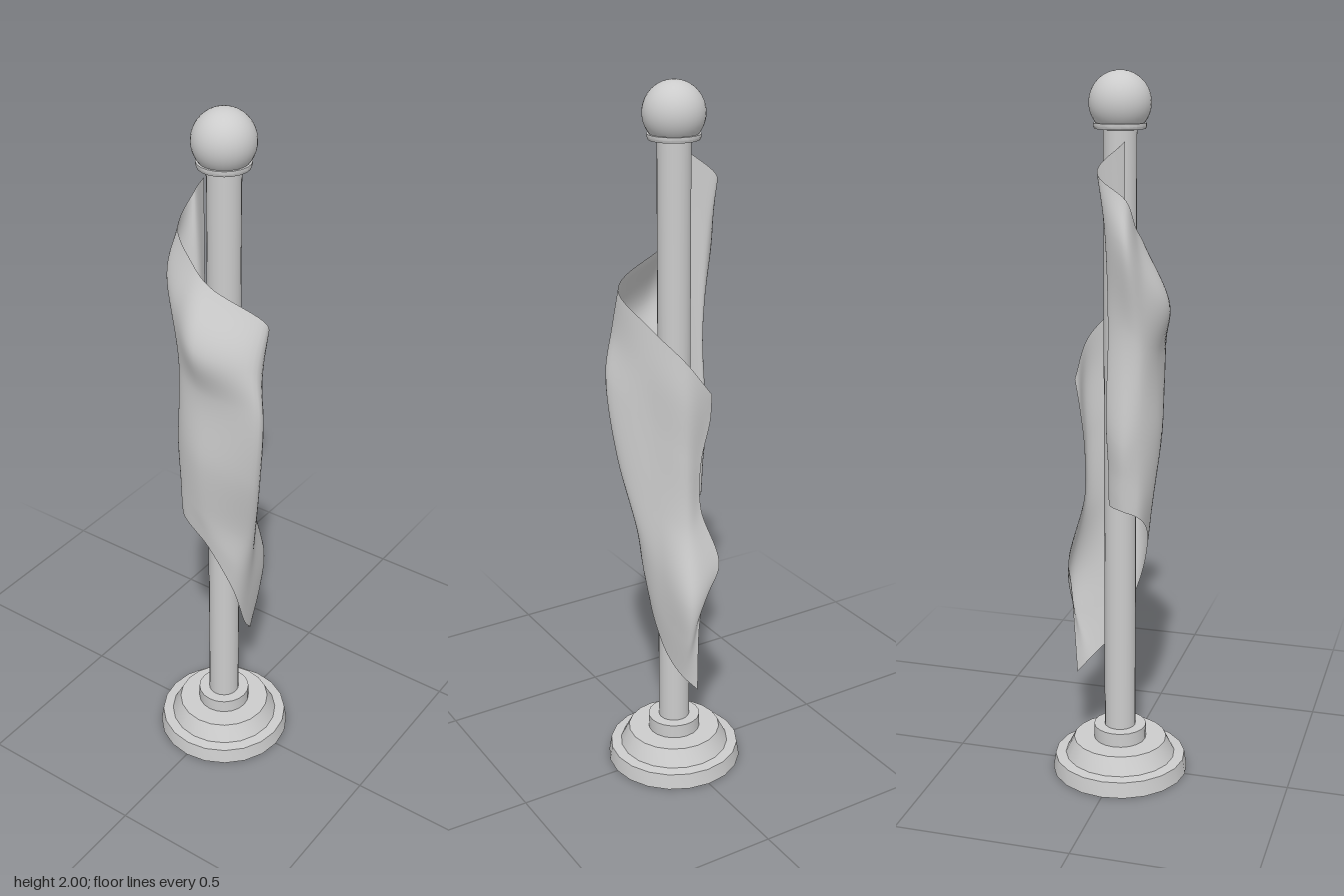
import * as THREE from 'three';
import { toCreasedNormals } from 'three/addons/utils/BufferGeometryUtils.js';

const SIDES = 20;
const material = new THREE.MeshStandardMaterial({ color: 0xcccccc });
const openMaterial = new THREE.MeshStandardMaterial({ color: 0xcccccc, side: THREE.DoubleSide });

// Heights where the rows of cloth meet the pole
const hoistHeights = [1.82, 1.64, 1.38, 1.15, 1.02, .95, .9];

// Rows of the draped cloth from top hem to bottom hem, running from beside
// the pole over the front and round to the back.
const clothRows = [
  [[-.115, 1.745, -.03], [-.111, 1.675, .047], [-.06, 1.6, .06], [0, 1.55, .067],
    [.155, 1.47, .028], [.095, 1.37, -.03], [.025, 1.28, -.1]],
  [[-.1, 1.6, -.015], [-.143, 1.56, .05], [-.09, 1.47, .088], [0, 1.39, .137],
    [.153, 1.35, .07], [.095, 1.24, -.03], [.025, 1.17, -.105]],
  [[-.085, 1.32, -.01], [-.102, 1.33, .04], [-.085, 1.28, .085], [0, 1.25, .108],
    [.169, 1.22, .08], [.09, 1.08, -.03], [.02, 1.0, -.1]],
  [[-.09, 1.08, -.015], [-.12, 1.02, .04], [-.09, 1.05, .085], [0, 1.03, .115],
    [.147, 1.0, .068], [.08, .85, -.04], [.02, .8, -.105]],
  [[-.085, .94, -.01], [-.112, .92, .035], [-.09, .91, .08], [0, .85, .097],
    [.103, .77, .035], [.075, .65, -.05], [.035, .58, -.155]],
  [[-.082, .88, -.01], [-.108, .87, .03], [-.09, .85, .078], [0, .78, .087],
    [.08, .66, .045], [.068, .52, -.04], [.035, .46, -.14]],
  [[-.08, .84, -.01], [-.105, .83, .03], [-.09, .81, .075], [0, .73, .08],
    [.062, .58, .045], [.055, .4, -.03], [.035, .33, -.09]],
];

// Loose edge at the back, stepping in to the hanging tail
const flyEdge = [
  [-.05, 1.18, -.115], [-.055, 1.1, -.1], [-.03, .98, -.095], [-.03, .84, -.095],
  [-.07, .67, -.13], [-.005, .56, -.145], [0, .285, -.13],
];

function smoothCurve(points) {
  return new THREE.CatmullRomCurve3(points, false, 'centripetal');
}

// Blends the rows into one smooth sheet
function createCloth(across, down) {
  const rows = clothRows.map((row, i) => smoothCurve(
    [[-.043, hoistHeights[i], .025], ...row, flyEdge[i]].map(p => new THREE.Vector3(...p))));
  const geometry = new THREE.PlaneGeometry(1, 1, across, down);
  const position = geometry.attributes.position;
  for (let i = 0; i <= across; i++) {
    const column = smoothCurve(rows.map(row => row.getPoint(i / across)));
    for (let j = 0; j <= down; j++) {
      const p = column.getPoint(j / down);
      position.setXYZ(j * (across + 1) + i, p.x, p.y, p.z);
    }
  }
  geometry.computeVertexNormals();
  return geometry;
}

function lathe(profile) {
  const points = profile.map(([r, y]) => new THREE.Vector2(r, y));
  return toCreasedNormals(new THREE.LatheGeometry(points, SIDES), 0.5);
}

export function createModel() {
  const model = new THREE.Group();
  const add = (name, geometry, y = 0, mat = material) => {
    const mesh = new THREE.Mesh(geometry, mat);
    mesh.name = name;
    mesh.position.y = y;
    model.add(mesh);
  };

  // Stepped base, hollow underneath
  add('base', lathe([
    [.197, 0], [.19, .045], [.16, .048], [.135, .097], [.076, .097], [.076, .138], [.04, .138],
  ]), 0, openMaterial);

  // Pole with collar and ball on top
  add('pole', new THREE.CylinderGeometry(.045, .045, 1.76, SIDES), .98);
  add('collar', lathe([[.04, 1.85], [.068, 1.85], [.071, 1.857], [.071, 1.865], [.04, 1.865]]), 0, openMaterial);
  add('finial', new THREE.SphereGeometry(.083, 32, 24), 1.917);

  // Flag hanging wrapped around the pole
  add('flag', createCloth(72, 72), 0, openMaterial);

  return model;
}
